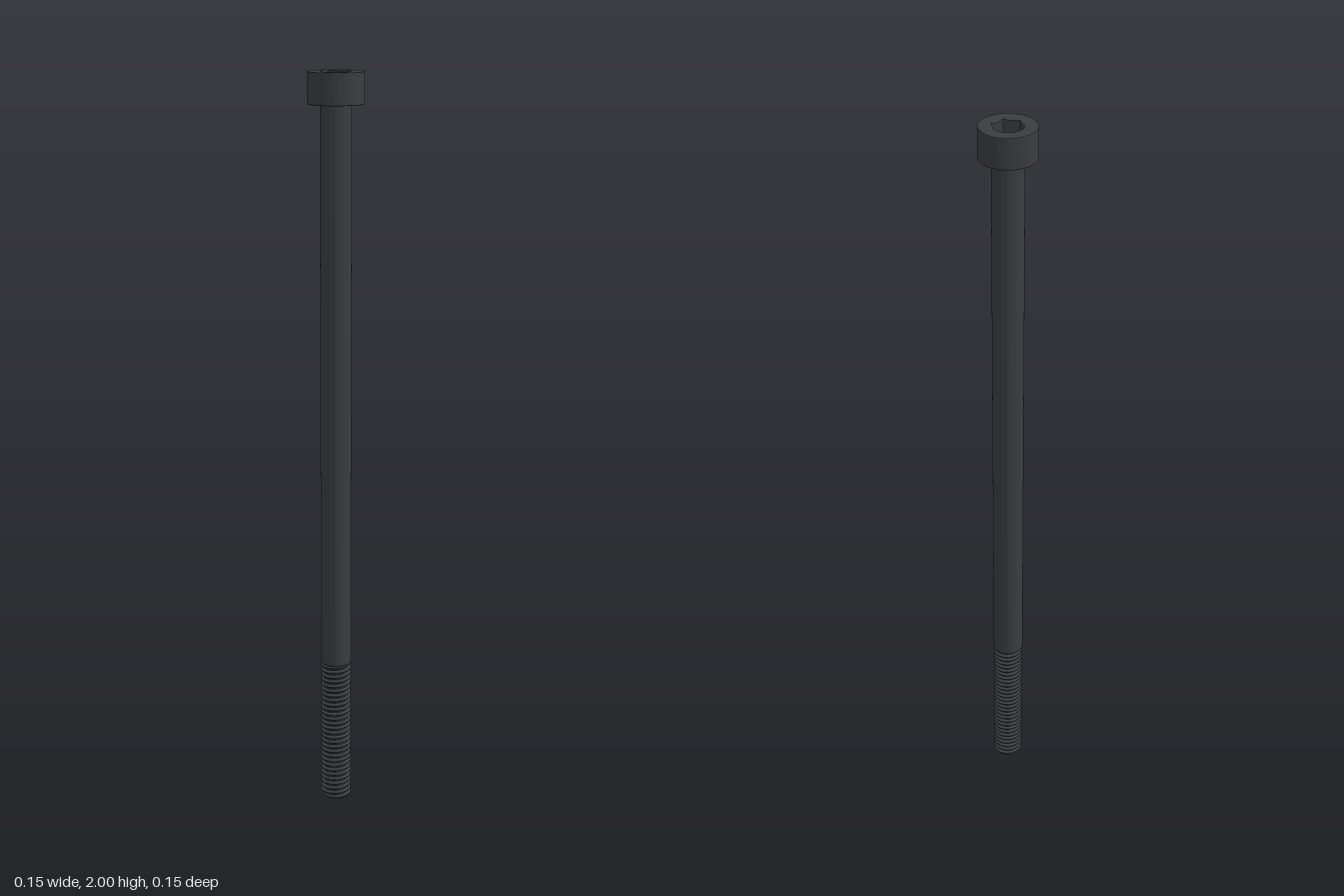
import * as THREE from 'three';
import { toCreasedNormals } from 'three/addons/utils/BufferGeometryUtils.js';

const SEG = 72;
const HEAD_R = 0.0735, HEAD_Y = 1.918, SHANK_R = 0.041, ROOT_R = 0.0335;
const THREAD_TOP = 0.4, PITCH = 0.0139;
const material = new THREE.MeshStandardMaterial({ color: 0x3a3c40 });

// Skins rings around the y axis; ring(row, angle) returns [radius, y].
function skin(name, rows, ring) {
  const pos = [], index = [];
  for (let j = 0; j < rows; j++) {
    for (let i = 0; i <= SEG; i++) {
      const t = (i / SEG) * Math.PI * 2;
      const [r, y] = ring(j, t);
      pos.push(r * Math.cos(t), y, -r * Math.sin(t));
      if (j < rows - 1 && i < SEG) {
        const a = j * (SEG + 1) + i, c = a + SEG + 1;
        index.push(a, a + 1, c, a + 1, c + 1, c);
      }
    }
  }
  const geo = new THREE.BufferGeometry();
  geo.setAttribute('position', new THREE.Float32BufferAttribute(pos, 3));
  geo.setIndex(index);
  const mesh = new THREE.Mesh(toCreasedNormals(geo, 0.4), material);
  mesh.name = name;
  return mesh;
}

const turned = (name, profile) => skin(name, profile.length, (j) => profile[j]);

// Thread radius for a phase of 0..1 within one pitch: root, flank, crest, flank
function threadRadius(phase) {
  const p = phase - Math.floor(phase);
  const rise = THREE.MathUtils.clamp(Math.min((p - 0.25) / 0.3125, (1 - p) / 0.3125), 0, 1);
  return ROOT_R + (SHANK_R - ROOT_R) * rise;
}

export function createModel() {
  const model = new THREE.Group();
  model.name = 'socketHeadBolt';

  // Cylindrical head, open in the middle of its top face
  const socketR = 0.0412;
  model.add(turned('head', [
    [SHANK_R - 0.002, HEAD_Y], [HEAD_R - 0.001, HEAD_Y], [HEAD_R, HEAD_Y + 0.001],
    [HEAD_R, 1.997], [HEAD_R - 0.0009, 1.9991], [HEAD_R - 0.003, 2], [socketR, 2],
  ]));

  // Hexagonal socket with a countersunk rim
  const hex = (t) => {
    const side = Math.PI / 3;
    return (socketR * Math.cos(side / 2)) / Math.cos((t % side) - side / 2);
  };
  const floor = 1.957;
  model.add(skin('hexSocket', 4, (j, t) => {
    const r = hex(t);
    return [[socketR, 2], [r, 2 - (socketR - r) * 0.6], [r, floor], [0, floor]][j];
  }));

  // Plain shank
  model.add(turned('shank', [
    [ROOT_R, THREAD_TOP - 0.004], [SHANK_R, THREAD_TOP + 0.002], [SHANK_R, HEAD_Y],
  ]));

  // Right-handed helical thread with a chamfered tip
  const stops = [0, 0.25, 0.5625, 0.6875];
  const turns = Math.ceil(THREAD_TOP / PITCH) + 2;
  model.add(skin('thread', turns * stops.length, (j, t) => {
    const lead = t / (Math.PI * 2);
    const rawY = PITCH * (Math.floor(j / 4) - 1 + stops[j % 4] + lead);
    const y = THREE.MathUtils.clamp(rawY, 0, THREAD_TOP);
    return [Math.min(threadRadius(y / PITCH - lead), ROOT_R + y), y];
  }));
  model.add(turned('tip', [[0, 0], [ROOT_R, 0]]));

  return model;
}
